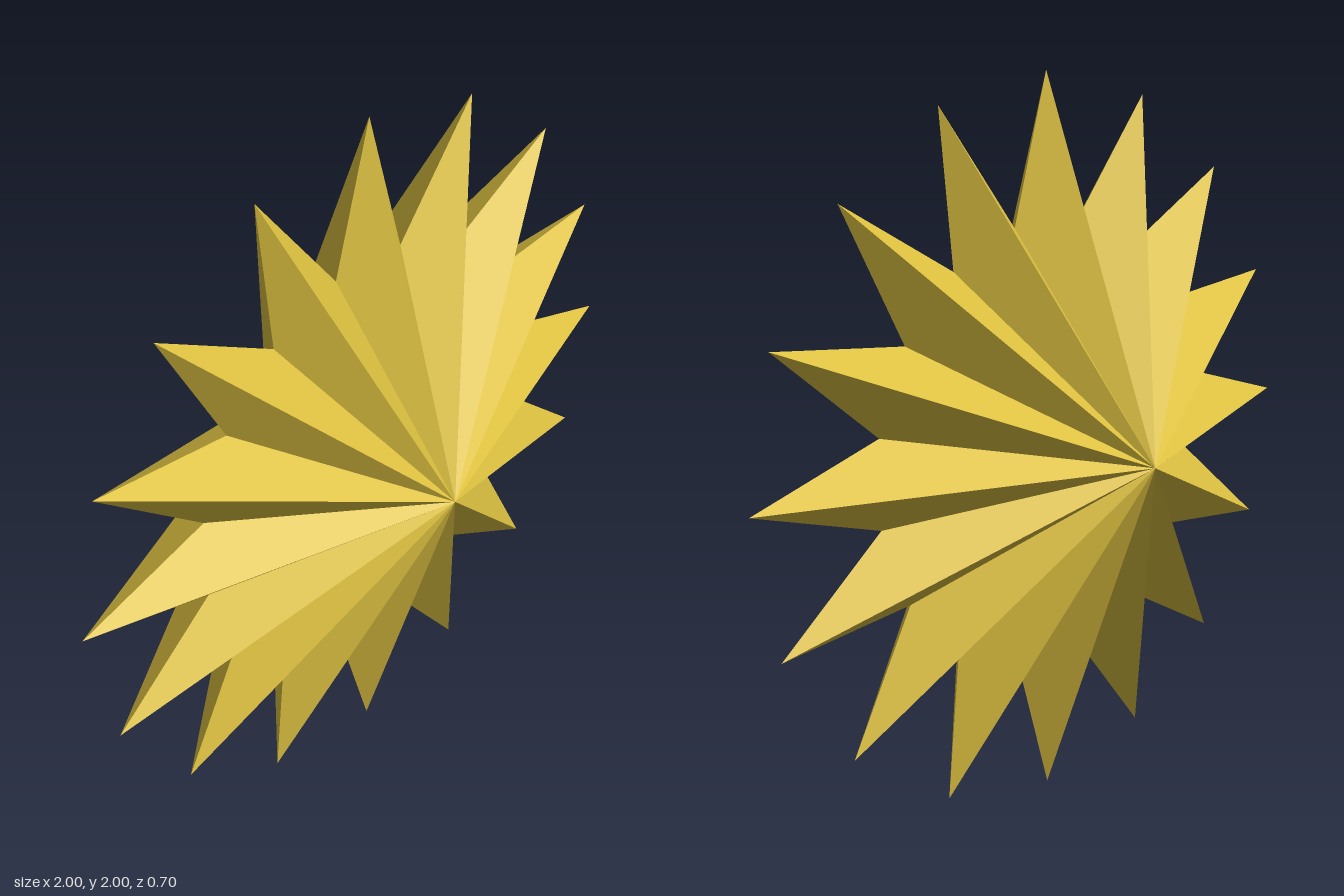
import * as THREE from 'three';

const POINTS = 16, OUTER = 1, INNER = 0.61, RIM_Z = 0.04, APEX_Z = 0.35;

// Rim corners alternate between spike tips and valleys.
function rimPoint(i) {
  const a = Math.PI / 2 + (i * Math.PI) / POINTS;
  const r = i % 2 === 0 ? OUTER : INNER;
  return [r * Math.cos(a), r * Math.sin(a), RIM_Z];
}

// One faceted half: a fan of triangles from the apex to the rim.
function starHalf(name, apexZ, material) {
  const positions = [];
  for (let i = 0; i < POINTS * 2; i++) {
    const a = rimPoint(i), b = rimPoint(i + 1);
    positions.push(0, 0, apexZ, ...(apexZ > RIM_Z ? [...a, ...b] : [...b, ...a]));
  }
  const geometry = new THREE.BufferGeometry();
  geometry.setAttribute('position', new THREE.Float32BufferAttribute(positions, 3));
  geometry.computeVertexNormals();
  const mesh = new THREE.Mesh(geometry, material);
  mesh.name = name;
  return mesh;
}

export function createModel() {
  const model = new THREE.Group();
  model.name = 'starburst';
  const gold = new THREE.MeshStandardMaterial({ color: 0xdcc040, flatShading: true });
  model.add(starHalf('frontStar', APEX_Z, gold), starHalf('backStar', -APEX_Z, gold));
  model.position.y = OUTER;
  return model;
}
